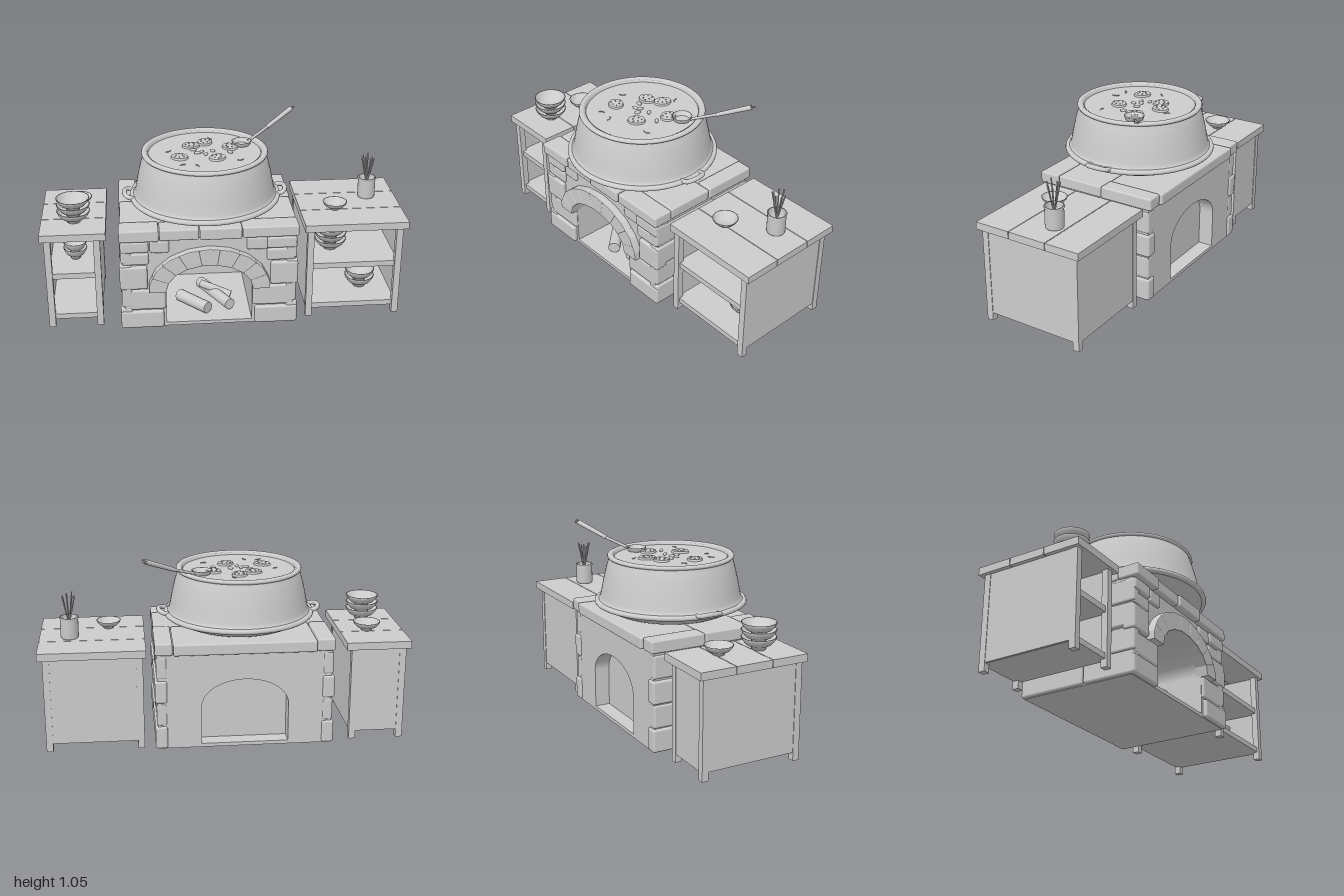
import * as THREE from 'three';
import { RoundedBoxGeometry } from 'three/addons/geometries/RoundedBoxGeometry.js';

export function createModel() {
  const root = new THREE.Group();
  const clay = new THREE.MeshStandardMaterial({ color: 0xcccccc });
  clay.name = 'plain grey';
  const V = (x, y, z) => new THREE.Vector3(x, y, z);

  const group = (name, parent = root) => {
    const g = new THREE.Group();
    g.name = name;
    parent.add(g);
    return g;
  };
  const add = (parent, name, geo, x = 0, y = 0, z = 0) => {
    const m = new THREE.Mesh(geo, clay);
    m.name = name;
    m.position.set(x, y, z);
    parent.add(m);
    return m;
  };
  // box given by its limits on each axis; r rounds the edges
  const box = (parent, name, x0, x1, y0, y1, z0, z1, r = 0) => {
    const s = [x1 - x0, y1 - y0, z1 - z0];
    const geo = r ? new RoundedBoxGeometry(...s, 2, r) : new THREE.BoxGeometry(...s);
    return add(parent, name, geo, (x0 + x1) / 2, (y0 + y1) / 2, (z0 + z1) / 2);
  };
  const lathe = (pts, n = 32) => new THREE.LatheGeometry(pts.map(p => new THREE.Vector2(...p)), n);
  const rod = (parent, name, a, b, r0, r1 = r0, n = 12) => {
    const m = add(parent, name, new THREE.CylinderGeometry(r1, r0, a.distanceTo(b), n));
    m.position.copy(a).lerp(b, 0.5);
    m.quaternion.setFromUnitVectors(V(0, 1, 0), b.clone().sub(a).normalize());
    return m;
  };

  // ---------- Stove ----------
  const CX = -0.097, stove = group('stove');
  const archX = 0.235, springY = 0.24, rise = 0.15;
  const wall = new THREE.Shape([[-0.565, 0.005], [0.375, 0.005], [0.375, 0.545], [-0.565, 0.545]]
    .map(p => new THREE.Vector2(...p)));
  const hole = new THREE.Path();
  hole.moveTo(CX - archX, 0.025);
  hole.lineTo(CX - archX, springY);
  hole.absellipse(CX, springY, archX, rise, Math.PI, 0, true);
  hole.lineTo(CX + archX, 0.025);
  hole.closePath();
  wall.holes.push(hole);
  add(stove, 'stoveBody', new THREE.ExtrudeGeometry(wall,
    { depth: 0.655, bevelEnabled: false, curveSegments: 24 }), 0, 0, -0.355);
  box(stove, 'fireboxBack', -0.36, 0.17, 0.01, 0.42, -0.27, -0.25);

  // arch stones
  const arch = group('archStones', stove), count = 9;
  for (let i = 0; i < count; i++) {
    const a0 = Math.PI * i / count + 0.012, a1 = Math.PI * (i + 1) / count - 0.012;
    const s = new THREE.Shape(), on = (a, w, h) => [Math.cos(a) * w, Math.sin(a) * h];
    s.moveTo(...on(a0, 0.24, 0.155));
    s.lineTo(...on(a0, 0.325, 0.24));
    s.lineTo(...on((a0 + a1) / 2, 0.328, 0.243));
    s.lineTo(...on(a1, 0.325, 0.24));
    s.lineTo(...on(a1, 0.24, 0.155));
    s.closePath();
    add(arch, 'archStone', new THREE.ExtrudeGeometry(s, { depth: 0.06, bevelThickness: 0.007,
      bevelSize: 0.005, bevelSegments: 2 }), CX, springY, 0.278);
  }

  // face stones: x0, x1, y0, y1 measured outward from the arch centre, for both halves
  const face = group('faceStones', stove);
  const rows = [
    [0.25, 0.485, 0.008, 0.112], [0.238, 0.465, 0.118, 0.24], [0.335, 0.485, 0.248, 0.385],
    [0.325, 0.47, 0.392, 0.462], [0.325, 0.475, 0.468, 0.535], [0.215, 0.318, 0.46, 0.535],
  ];
  rows.forEach(([a, b, y0, y1], i) => [-1, 1].forEach(s => {
    const d = s > 0 && i > 2 ? -0.012 : 0;
    const e = [CX + s * (a + d), CX + s * b].sort((p, q) => p - q);
    box(face, 'faceStone', e[0], e[1], y0, y1, 0.25, i % 2 ? 0.315 : 0.323, 0.013);
  }));

  // side stones
  const sides = group('sideStones', stove);
  [0.008, 0.137, 0.269, 0.403].forEach((y, i) => [-1, 1].forEach(s => {
    const out = 0.485 - (i % 2) * 0.008, seam = i % 2 ? -0.1 : 0.015;
    const e = [CX + s * 0.42, CX + s * out].sort((p, q) => p - q);
    box(sides, 'sideStone', e[0], e[1], y, y + 0.125, seam + 0.003, 0.316, 0.012);
    box(sides, 'sideStone', e[0], e[1], y, y + 0.125, i % 2 ? -0.358 : -0.366, seam - 0.003, 0.012);
  }));

  // top slabs: z limits, then x joints
  const slabs = group('topSlabs', stove);
  [[0.217, 0.34, [-0.58, -0.365, -0.15, 0.08, 0.388]],
    [-0.058, 0.213, [-0.575, -0.1, 0.385]],
    [-0.385, -0.062, [-0.58, -0.48, 0.29, 0.388]]].forEach(([z0, z1, xs]) => {
    for (let i = 0; i < xs.length - 1; i++)
      box(slabs, 'topSlab', xs[i] + 0.002, xs[i + 1] - 0.002, 0.54, 0.608 - (i % 2) * 0.004,
        z0 + (z0 < -0.3 && i !== 1 ? 0.012 : 0), z1 - (z1 > 0.3 ? (i % 2) * 0.008 : 0), 0.01);
  });

  // firewood
  const fire = group('firewood', stove);
  rod(fire, 'log', V(-0.25, 0.062, 0.06), V(-0.1, 0.06, 0.22), 0.034);
  rod(fire, 'log', V(-0.12, 0.062, -0.08), V(0.025, 0.066, 0.2), 0.032);
  rod(fire, 'log', V(-0.13, 0.11, 0.02), V(0.04, 0.06, 0.08), 0.022);

  // ---------- Pot ----------
  const pot = group('pot');
  pot.position.x = CX;
  const curve = new THREE.SplineCurve([[0.305, 0.61], [0.345, 0.628], [0.385, 0.652], [0.403, 0.668],
    [0.388, 0.69], [0.38, 0.72], [0.366, 0.79], [0.349, 0.86], [0.335, 0.905], [0.335, 0.918]]
    .map(p => new THREE.Vector2(...p)));
  add(pot, 'potBody', lathe([[0, 0.604], [0.24, 0.604], ...curve.getPoints(36).map(p => [p.x, p.y]),
    [0.32, 0.922], [0.308, 0.918], [0.305, 0.89]], 64));
  const ring = (name, R, r, y, squash) => {
    const t = add(pot, name, new THREE.TorusGeometry(R, r, 12, 64), 0, y, 0);
    t.rotation.x = Math.PI / 2;
    t.scale.z = squash;
  };
  ring('potRim', 0.329, 0.016, 0.917, 0.75);
  ring('potFlange', 0.4, 0.016, 0.669, 0.9);
  [-1, 1].forEach(s => {
    const path = new THREE.CatmullRomCurve3([V(s * 0.385, 0.672, 0.062), V(s * 0.425, 0.682, 0.058),
      V(s * 0.442, 0.688, 0.025), V(s * 0.442, 0.688, -0.025), V(s * 0.425, 0.682, -0.058),
      V(s * 0.385, 0.672, -0.062)]);
    add(pot, 'potHandle', new THREE.TubeGeometry(path, 28, 0.013, 10));
  });

  // soup with its garnish
  const soup = group('soup', pot), SY = 0.908;
  add(soup, 'broth', new THREE.CylinderGeometry(0.31, 0.31, 0.02, 64), 0, SY - 0.01, 0);
  [[-0.07, -0.095], [0.01, -0.14], [-0.14, 0.07], [0.063, 0.095], [0.145, -0.06]].forEach(([x, z], k) => {
    const slice = group('vegetableSlice', soup);
    slice.position.set(x, SY + 0.004, z);
    slice.rotation.y = k * 1.3;
    add(slice, 'sliceDisc', new THREE.CylinderGeometry(0.046, 0.05, 0.014, 24)).scale.z = 0.85;
    for (let i = 0; i < 6; i++) {
      const a = i * Math.PI / 3, r = i % 2 ? 0.028 : 0.02;
      add(slice, 'seed', new THREE.SphereGeometry(0.004, 6, 4), Math.cos(a) * r, 0.008, Math.sin(a) * r);
    }
  });
  [[-0.06, -0.03], [-0.015, 0], [0.045, -0.01], [-0.04, 0.015], [0.005, 0.037], [0.138, 0.017]].forEach(([x, z], i) => {
    const bean = add(soup, 'bean', new THREE.SphereGeometry(0.018, 12, 8), x, SY + 0.004, z);
    bean.scale.set(1, 0.5, 0.55);
    bean.rotation.y = i * 1.1;
  });
  [[-0.21, -0.04], [0.06, -0.215], [-0.12, 0.195], [-0.07, 0.2], [0.18, 0.11]].forEach(([x, z], i) => {
    const herb = add(soup, 'herb', new THREE.TorusGeometry(0.025, 0.003, 5, 10, 1.6), x, SY + 0.002, z);
    herb.rotation.set(Math.PI / 2, 0, i * 1.7);
  });

  // ladle
  const ladle = group('ladle');
  add(ladle, 'ladleBowl', lathe([[0, -0.038], [0.03, -0.032], [0.047, -0.015], [0.055, 0.006],
    [0.051, 0.006], [0.043, -0.013], [0.027, -0.026], [0, -0.03]], 28), 0.115, 0.925, -0.1);
  const grip = V(0.27, 0.965, -0.21), tip = V(0.42, 1.037, -0.312);
  rod(ladle, 'ladleShaft', V(0.155, 0.918, -0.125), grip, 0.008);
  rod(ladle, 'ladleGrip', grip, tip, 0.011, 0.014);
  const loop = add(ladle, 'ladleLoop', new THREE.TorusGeometry(0.011, 0.004, 8, 16), 0.427, 1.041, -0.317);
  loop.rotation.set(1.1, 0.3, 0);

  // ---------- Tables ----------
  const table = (name, x0, x1, lx0, lx1, z0, seams) => {
    const t = group(name);
    const zs = [z0, ...seams, 0.272];
    for (let i = 0; i < 3; i++)
      box(t, 'topPlank', x0, x1, 0.527, 0.568, zs[i] + 0.002, zs[i + 1] - 0.002);
    const zb = z0 + 0.028, zf = 0.253, w = 0.036;
    [lx0, lx1 - w].forEach(x => [zb, zf - w].forEach(z => box(t, 'leg', x, x + w, 0, 0.527, z, z + w)));
    box(t, 'sidePanel', lx0 + 0.003, lx0 + 0.018, 0.045, 0.527, zb + 0.004, zf - 0.004);
    box(t, 'sidePanel', lx1 - 0.018, lx1 - 0.003, 0.045, 0.527, zb + 0.004, zf - 0.004);
    box(t, 'backPanel', lx0 + 0.01, lx1 - 0.01, 0.045, 0.527, zb + 0.003, zb + 0.016);
    [[0.043, 0.073], [0.29, 0.322]].forEach(([a, b]) =>
      box(t, 'shelf', lx0 + 0.012, lx1 - 0.012, a, b, zb + 0.01, zf - 0.012));
    return t;
  };
  const small = table('smallTable', -1, -0.648, -0.98, -0.68, -0.342, [-0.142, 0.065]);
  const large = table('largeTable', 0.43, 1, 0.447, 0.975, -0.357, [-0.157, 0.065]);

  // bowls, stacked where n is more than one
  const bowls = (parent, x, y, z, r, n = 1, h = r * 0.68) => {
    const geo = lathe([[0, 0], [r * 0.42, 0], [r * 0.42, h * 0.2], [r * 0.72, h * 0.42], [r * 0.92, h * 0.75],
      [r, h], [r * 0.94, h], [r * 0.84, h * 0.72], [r * 0.6, h * 0.42], [0, h * 0.3]]);
    for (let i = 0; i < n; i++) add(parent, 'bowl', geo, x, y + i * h * 0.57, z);
  };
  bowls(small, -0.82, 0.568, 0.1, 0.091, 3, 0.066);
  bowls(small, -0.8, 0.568, -0.12, 0.075);
  bowls(small, -0.825, 0.322, 0.05, 0.066, 2, 0.066);
  bowls(large, 0.625, 0.568, 0.06, 0.068);
  bowls(large, 0.61, 0.322, 0.05, 0.09, 3, 0.064);
  bowls(large, 0.79, 0.073, 0.05, 0.085, 2, 0.07);

  // chopsticks in a cup
  const cup = group('chopstickCup', large);
  cup.position.set(0.835, 0.568, -0.097);
  add(cup, 'cup', lathe([[0, 0], [0.044, 0], [0.049, 0.01], [0.049, 0.108], [0.052, 0.112], [0.052, 0.12],
    [0.044, 0.12], [0.043, 0.02], [0, 0.02]]));
  for (let i = 0; i < 7; i++) {
    const a = i * Math.PI * 2 / 7 + 0.4, c = Math.cos(a), s = Math.sin(a);
    rod(cup, 'chopstick', V(c * -0.01, 0.02, s * -0.01), V(c * 0.034, 0.235 + (i % 3) * 0.009, s * 0.034),
      0.003, 0.004, 6);
  }
  return root;
}
